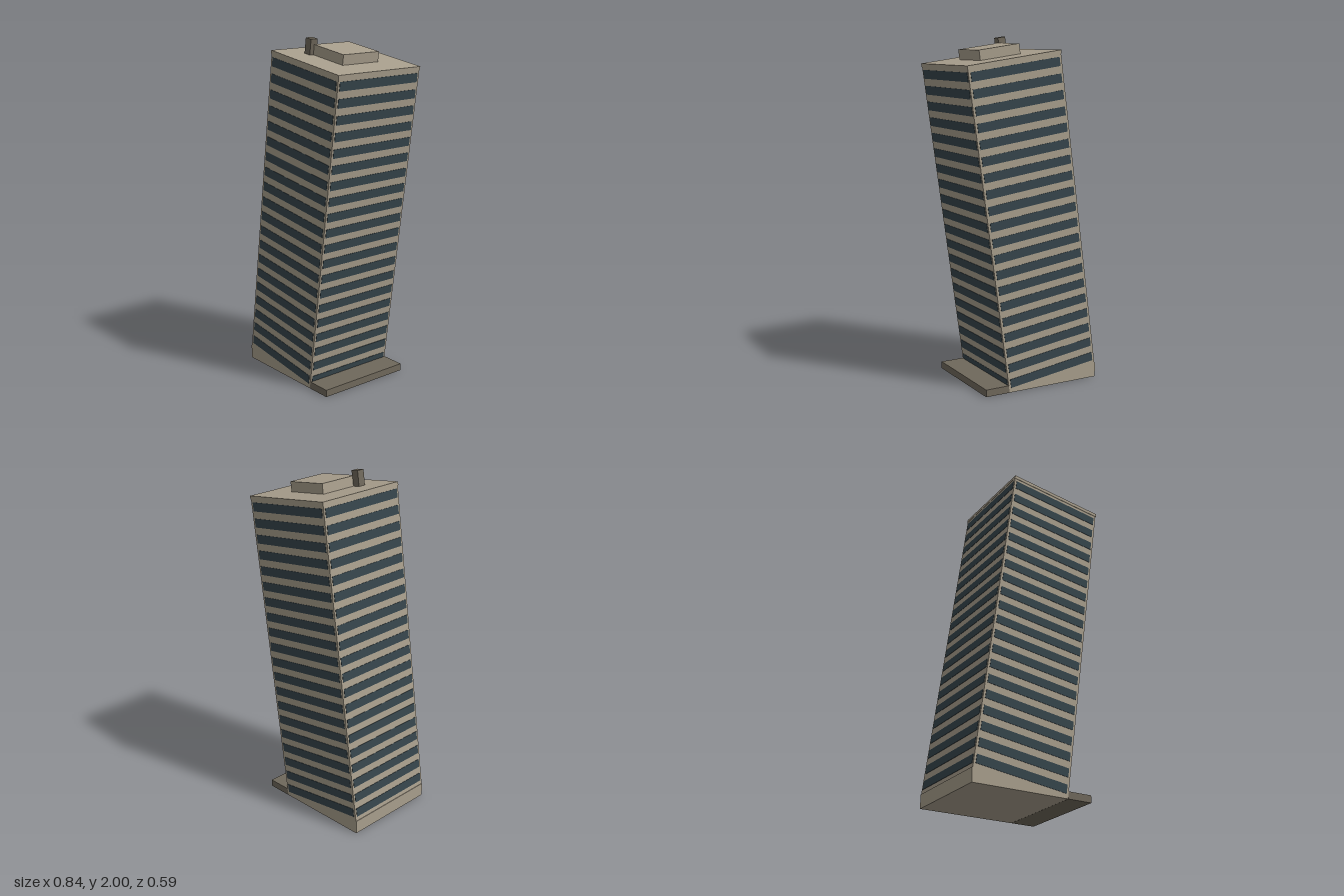
import * as THREE from 'three';

const W = 0.585, D = 0.582, H = 1.867;   // tower width, depth, height
const TILT = 0.1375;                      // lean towards +x
const PIVOT_X = 0.163;                    // bottom edge the tower leans over
const FLOORS = 20, PITCH = 0.0923, FIRST = 0.051;

const mat = (name, color) => {
  const m = new THREE.MeshStandardMaterial({ color });
  m.name = name;
  return m;
};

export function createModel() {
  const stone = mat('stone', 0xa89e8c);
  const glass = mat('darkGlass', 0x36454c);
  const dark = mat('darkStone', 0x6f685b);

  const model = new THREE.Group();
  model.name = 'leaningTower';

  const box = (parent, name, material, size, pos) => {
    const mesh = new THREE.Mesh(new THREE.BoxGeometry(...size), material);
    mesh.name = name;
    mesh.position.set(...pos);
    parent.add(mesh);
    return mesh;
  };

  // Everything that leans, built upright and turned about the bottom right edge
  const tower = new THREE.Group();
  tower.name = 'tower';
  tower.position.x = PIVOT_X;
  tower.rotation.z = -TILT;
  model.add(tower);

  const cx = -W / 2;
  box(tower, 'walls', stone, [W, H - 0.02, D], [cx, (H - 0.02) / 2, 0]);
  box(tower, 'roofSlab', stone, [W + 0.004, 0.02, D + 0.005], [cx, H - 0.01, 0]);

  // Window bands: one thin plate per side on each floor
  const t = 0.004, bandH = 0.051;
  for (let i = 0; i < FLOORS; i++) {
    const y = FIRST + i * PITCH;
    for (const s of [-1, 1]) {
      box(tower, 'windowBand', glass, [W - 0.026, bandH, t], [cx, y, s * D / 2]);
      box(tower, 'windowBand', glass, [t, bandH, D - 0.023], [cx + s * W / 2, y, 0]);
    }
  }

  // Rooftop structures
  box(tower, 'penthouse', stone, [0.256, 0.058, 0.256], [cx, H + 0.029, 0]);
  box(tower, 'chimney', dark, [0.047, 0.089, 0.047], [-0.441, H + 0.0445, 0.13]);

  // Wedge that fills the gap under the raised side
  const shape = new THREE.Shape();
  shape.moveTo(-0.42, 0);
  shape.lineTo(PIVOT_X, 0);
  shape.lineTo(-0.42, (PIVOT_X + 0.42) * Math.tan(TILT));
  shape.closePath();
  const wedge = new THREE.Mesh(
    new THREE.ExtrudeGeometry(shape, { depth: D, bevelEnabled: false }), stone);
  wedge.name = 'baseWedge';
  wedge.position.z = -D / 2;
  model.add(wedge);

  // Low entrance step under the overhang
  box(model, 'entranceStep', dark, [0.15, 0.042, D], [PIVOT_X + 0.076, 0.021, 0]);

  return model;
}
